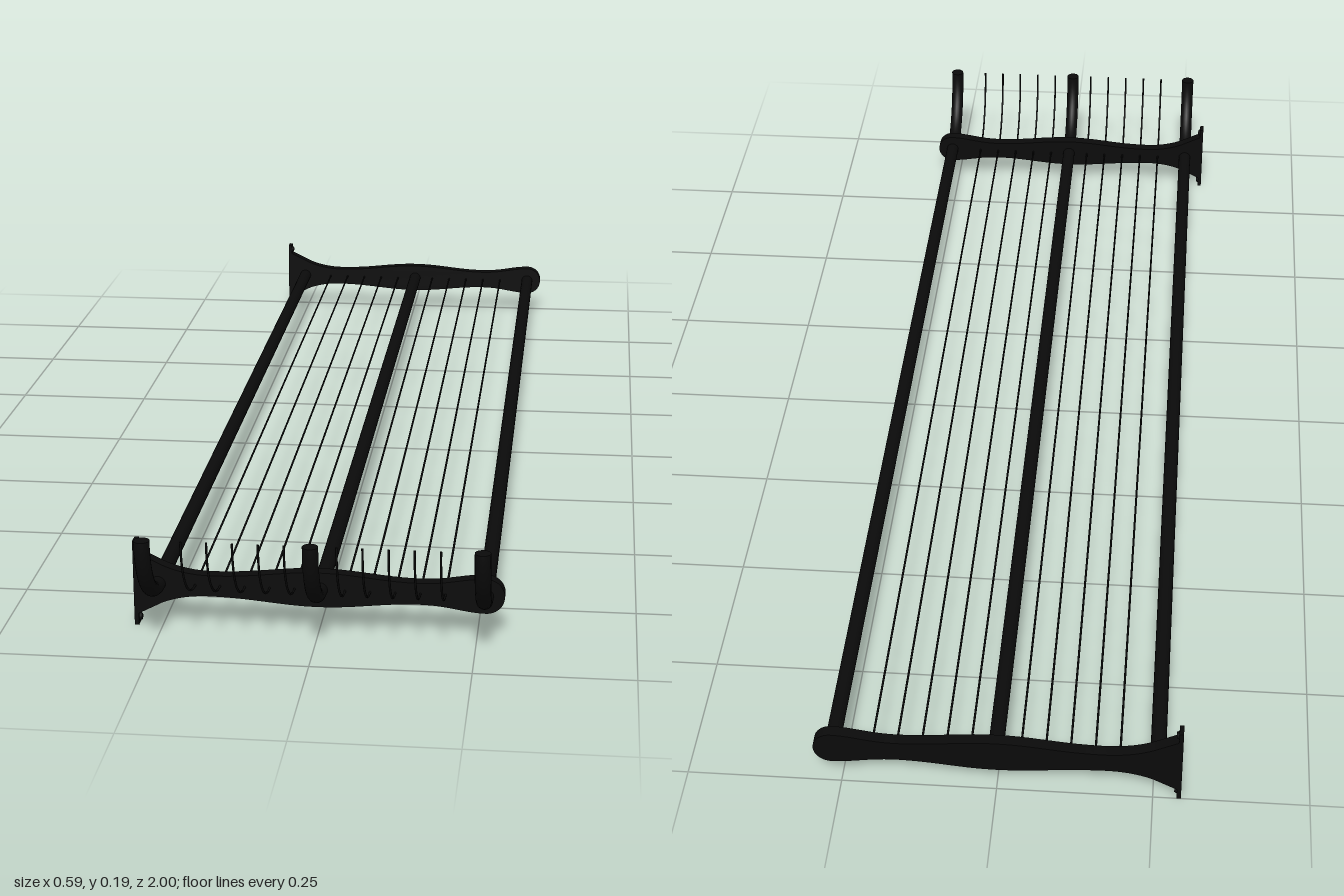
import * as THREE from 'three';

export function createModel() {
  const group = new THREE.Group();
  group.name = 'wallRack';
  const black = new THREE.MeshStandardMaterial({ color: 0x0b0b0b });
  black.name = 'black';

  const add = (parent, name, geometry, x = 0, y = 0, z = 0) => {
    const mesh = new THREE.Mesh(geometry, black);
    mesh.name = name;
    mesh.position.set(x, y, z);
    parent.add(mesh);
    return mesh;
  };

  const railY = 0.073, backZ = -0.988, bendZ = 0.867, bendR = 0.12;

  // Straight bar that sweeps up in a quarter bend at the front
  function bar(name, x, radius, sides) {
    const part = new THREE.Group();
    part.name = name;
    part.position.x = x;
    const length = bendZ - backZ;
    add(part, 'straight', new THREE.CylinderGeometry(radius, radius, length, sides).rotateX(Math.PI / 2),
      0, railY, (bendZ + backZ) / 2);
    add(part, 'bend', new THREE.TorusGeometry(bendR, radius, sides, 16, Math.PI / 2)
      .rotateZ(-Math.PI / 2).rotateY(-Math.PI / 2), 0, railY + bendR, bendZ);
    add(part, 'tip', new THREE.CircleGeometry(radius, sides).rotateX(-Math.PI / 2),
      0, railY + bendR, bendZ + bendR);
    group.add(part);
  }

  [-0.256, 0.002, 0.263].forEach((x) => bar('mainTube', x, 0.0125, 20));
  for (let i = 0; i < 5; i++) {
    bar('thinRod', -0.196 + i * 0.0395, 0.0018, 8);
    bar('thinRod', 0.042 + i * 0.0395, 0.0018, 8);
  }

  // Wavy bracket arm, flared at the wall and round at the free end
  const arm = new THREE.Shape();
  arm.moveTo(-0.288, 0.021);
  arm.lineTo(-0.25, 0.041);
  arm.quadraticCurveTo(-0.215, 0.056, -0.17, 0.055);
  arm.bezierCurveTo(-0.1, 0.054, -0.06, 0.044, 0, 0.044);
  arm.bezierCurveTo(0.06, 0.044, 0.1, 0.055, 0.16, 0.055);
  arm.bezierCurveTo(0.205, 0.055, 0.23, 0.044, 0.264, 0.044);
  arm.absarc(0.264, 0.073, 0.029, -Math.PI / 2, Math.PI / 2, false);
  arm.bezierCurveTo(0.23, 0.102, 0.205, 0.091, 0.16, 0.091);
  arm.bezierCurveTo(0.1, 0.091, 0.06, 0.102, 0, 0.102);
  arm.bezierCurveTo(-0.06, 0.102, -0.1, 0.09, -0.17, 0.09);
  arm.quadraticCurveTo(-0.215, 0.09, -0.25, 0.106);
  arm.lineTo(-0.288, 0.125);
  arm.closePath();

  const depth = 0.02;
  for (const z of [0.862, -0.99]) {
    const bracket = new THREE.Group();
    bracket.name = 'bracket';
    bracket.position.z = z;
    add(bracket, 'arm', new THREE.ExtrudeGeometry(arm, { depth, bevelEnabled: false, curveSegments: 14 })
      .translate(0, 0, -depth / 2));
    add(bracket, 'wallPlate', new THREE.BoxGeometry(0.007, 0.143, depth), -0.2915, 0.0725, 0);
    // Screw heads
    for (const y of [0.012, 0.133]) {
      add(bracket, 'screw', new THREE.CylinderGeometry(0.005, 0.007, 0.004, 14).rotateZ(-Math.PI / 2), -0.286, y, 0);
    }
    group.add(bracket);
  }
  return group;
}
